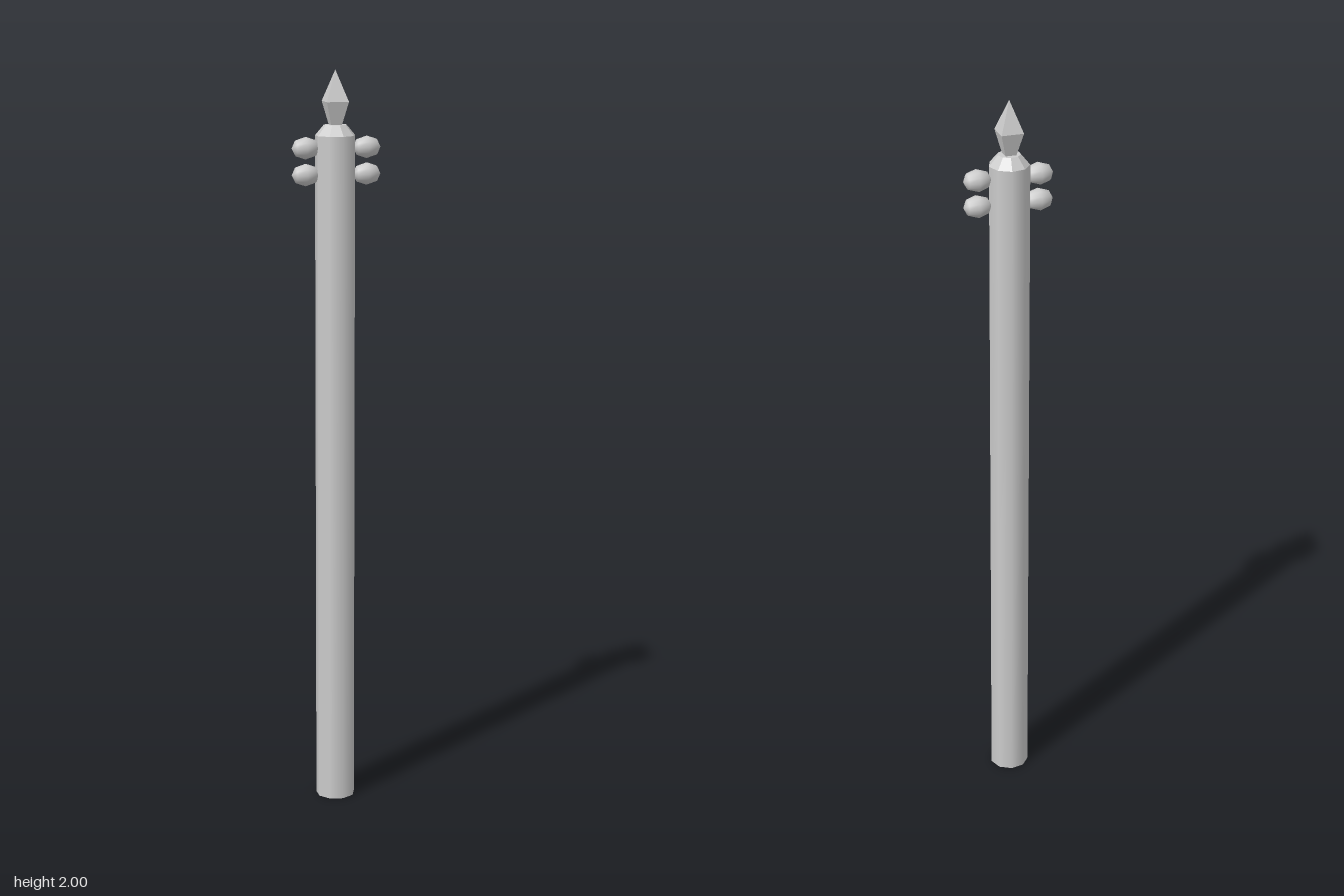
import * as THREE from 'three';

export function createModel() {
  const group = new THREE.Group();
  const smooth = new THREE.MeshStandardMaterial({ color: 0xcccccc });
  const flat = new THREE.MeshStandardMaterial({ color: 0xcccccc, flatShading: true });
  const axisX = -0.003; // the pole stands slightly off the centre line

  const add = (name, geometry, material, x, y, z = 0) => {
    const mesh = new THREE.Mesh(geometry, material);
    mesh.name = name;
    mesh.position.set(x, y, z);
    group.add(mesh);
    return mesh;
  };

  // Tapered section standing on y0, with a corner turned by `start`
  const section = (name, rTop, rBottom, y0, y1, sides, start, material, open) =>
    add(name, new THREE.CylinderGeometry(rTop, rBottom, y1 - y0, sides, 1, open, start),
      material, axisX, (y0 + y1) / 2);

  // Nine-sided pole and its bevelled cap
  section('pole', 0.0535, 0.0535, 0, 1.83, 9, Math.PI / 2, smooth, false);
  section('poleCap', 0.03, 0.0535, 1.83, 1.858, 9, Math.PI / 2, flat, false);

  // Four-sided spear-shaped finial
  const corner = Math.SQRT2;
  section('finialBase', 0.0295 * corner, 0.014 * corner, 1.856, 1.918, 4, Math.PI / 4, flat, true);
  section('finialTip', 0, 0.0295 * corner, 1.918, 2, 4, Math.PI / 4, flat, true);

  // Two stretched knobs on each side, lying along x
  const knob = new THREE.SphereGeometry(0.0295, 12, 4);
  knob.scale(1, 0.0375 / 0.0295, 1);
  knob.rotateZ(-Math.PI / 2);
  for (const side of [1, -1]) {
    for (const y of [1.728, 1.798]) {
      add(side > 0 ? 'leftKnob' : 'rightKnob', knob, smooth, side * 0.0825, y, -0.002);
    }
  }
  return group;
}
